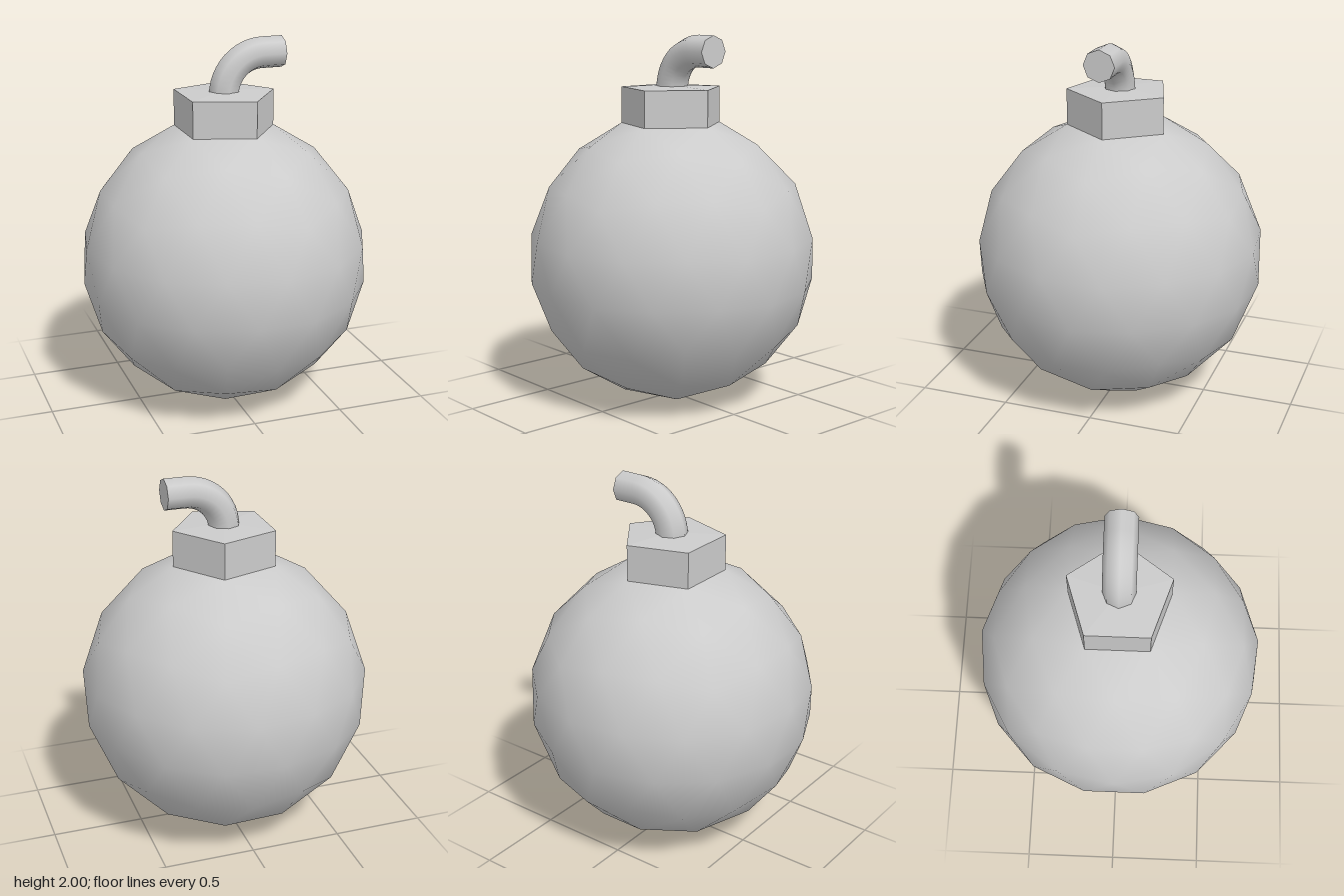
import * as THREE from 'three';

const R = 0.785;                       // body radius and centre height
const ARC = Math.atan(2);              // angle between neighbouring icosahedron corners
const grey = (opts = {}) => new THREE.MeshStandardMaterial({ color: 0xcccccc, ...opts });

function add(parent, name, geometry, material) {
  const mesh = new THREE.Mesh(geometry, material);
  mesh.name = name;
  parent.add(mesh);
  return mesh;
}

function slerp(a, b, t) {
  const angle = a.angleTo(b);
  if (angle < 1e-6) return a.clone();
  return a.clone().multiplyScalar(Math.sin((1 - t) * angle))
    .addScaledVector(b, Math.sin(t * angle)).divideScalar(Math.sin(angle));
}

// Icosphere with each edge cut in three; the cap under the neck is left open
function bodyGeometry() {
  const ring = (polar, turn) => Array.from({ length: 5 }, (_, k) =>
    new THREE.Vector3().setFromSphericalCoords(1, polar, Math.PI / 2 + (k + turn) * Math.PI * 0.4));
  const top = new THREE.Vector3(0, 1, 0), bottom = new THREE.Vector3(0, -1, 0);
  const upper = ring(ARC, 0), lower = ring(Math.PI - ARC, 0.5);
  const positions = [], normals = [];

  const triangle = (a, b, c) => {
    const outward = a.clone().cross(b).dot(c) > 0;
    for (const p of outward ? [a, b, c] : [a, c, b]) {
      positions.push(p.x * R, p.y * R, p.z * R);
      normals.push(p.x, p.y, p.z);
    }
  };
  const face = (apex, b, c) => {
    const rows = [0, 1, 2, 3].map((i) => {
      const s = slerp(apex, b, i / 3), e = slerp(apex, c, i / 3);
      return Array.from({ length: i + 1 }, (_, j) => slerp(s, e, i ? j / i : 0));
    });
    for (let i = apex === top ? 1 : 0; i < 3; i++) {
      for (let j = 0; j <= i; j++) {
        triangle(rows[i][j], rows[i + 1][j], rows[i + 1][j + 1]);
        if (j < i) triangle(rows[i][j], rows[i + 1][j + 1], rows[i][j + 1]);
      }
    }
  };

  for (let k = 0; k < 5; k++) {
    const next = (k + 1) % 5, prev = (k + 4) % 5;
    face(top, upper[k], upper[next]);
    face(upper[k], lower[prev], lower[k]);
    face(lower[k], upper[k], upper[next]);
    face(bottom, lower[k], lower[next]);
  }
  const g = new THREE.BufferGeometry();
  g.setAttribute('position', new THREE.Float32BufferAttribute(positions, 3));
  g.setAttribute('normal', new THREE.Float32BufferAttribute(normals, 3));
  return g;
}

export function createModel() {
  const model = new THREE.Group();
  model.name = 'roundBomb';

  add(model, 'body', bodyGeometry(), grey()).position.y = R;

  // Five-sided neck rising from the open cap, with a very shallow peaked lid
  const neckR = R * Math.sin(ARC / 3);
  const neckY = R + R * Math.cos(ARC / 3), neckTop = 1.714, peak = 0.014;
  const neck = new THREE.Group();
  neck.name = 'neck';
  model.add(neck);
  const prism = (r, h) => new THREE.CylinderGeometry(r, neckR, h, 5, 1, true, Math.PI / 2);
  add(neck, 'neckWall', prism(neckR, neckTop - neckY), grey({ flatShading: true }))
    .position.y = (neckY + neckTop) / 2;
  add(neck, 'neckLid', prism(0, peak), grey({ flatShading: true })).position.y = neckTop + peak / 2;

  // Fuse: quarter bend followed by a short straight end towards +x
  const bend = 0.212, fuseR = 0.085, endX = 0.325, fuseY = 2 - fuseR;
  class FusePath extends THREE.Curve {
    getPoint(t, target = new THREE.Vector3()) {
      const arc = bend * Math.PI / 2, d = t * (arc + endX - bend);
      if (d > arc) return target.set(bend + d - arc, fuseY, 0);
      const a = d / bend;
      return target.set(bend * (1 - Math.cos(a)), fuseY - bend + bend * Math.sin(a), 0);
    }
  }
  const fuse = new THREE.Group();
  fuse.name = 'fuse';
  model.add(fuse);
  add(fuse, 'fuseTube', new THREE.TubeGeometry(new FusePath(), 16, fuseR, 8), grey());
  const end = add(fuse, 'fuseEnd', new THREE.CircleGeometry(fuseR, 8), grey());
  end.rotation.y = Math.PI / 2;
  end.position.set(endX, fuseY, 0);

  return model;
}
